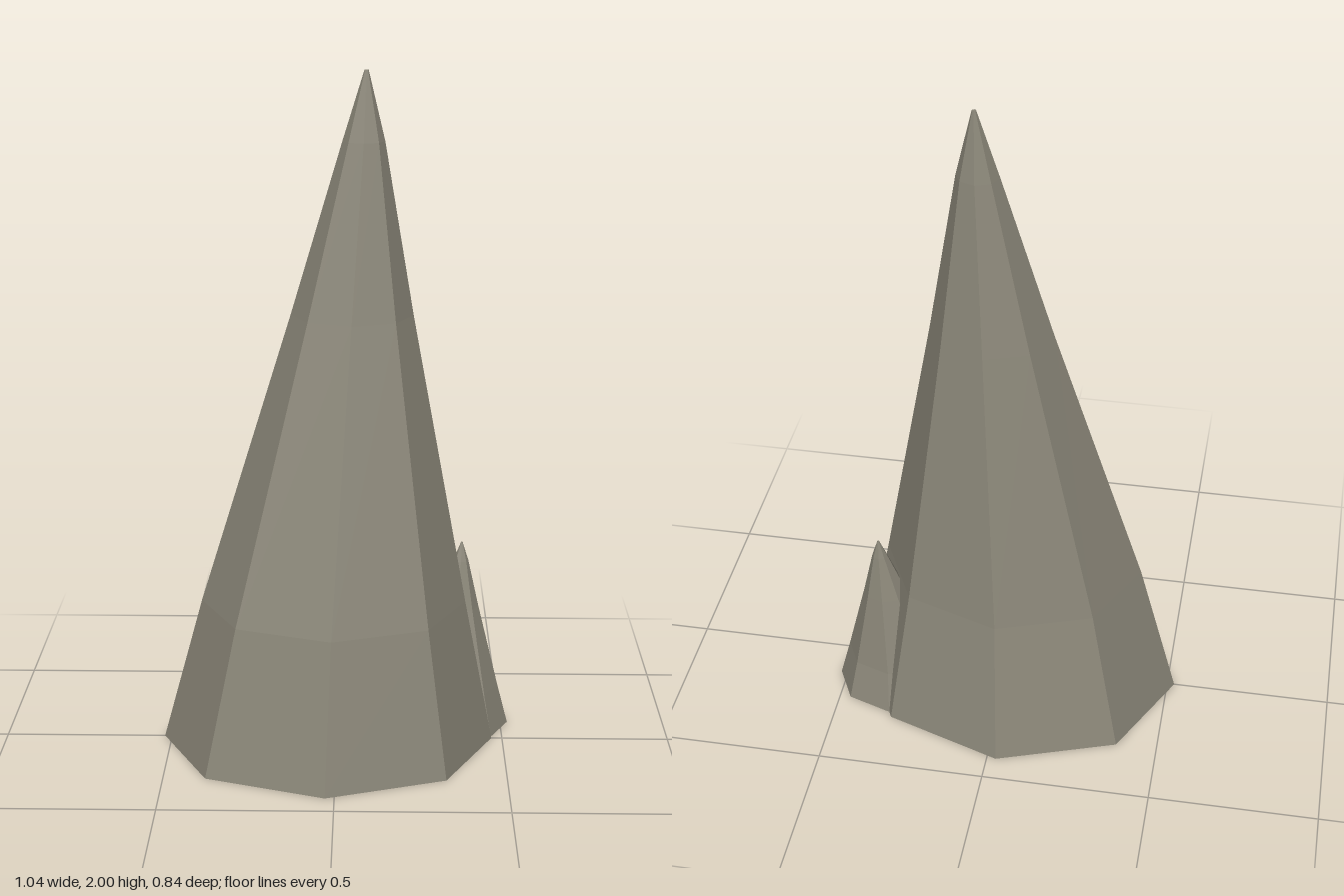
import * as THREE from 'three';

// Rings of a leaning spike, bottom to top: height, centre x, centre z, radius x, radius z
const RINGS = [
  [0, 0, 0, 0.495, 0.42],
  [0.44, 0.017, 0, 0.392, 0.333],
  [1.3, 0.07, -0.055, 0.178, 0.152],
  [1.8, 0.102, -0.077, 0.061, 0.052],
  [2, 0.109, -0.086, 0.006, 0.005],
];

// Eight-sided capped cylinder whose rows are moved onto the rings
function spikeGeometry() {
  const geometry = new THREE.CylinderGeometry(1, 1, 1, 8, RINGS.length - 1);
  const p = geometry.attributes.position;
  for (let i = 0; i < p.count; i++) {
    const row = Math.round((p.getY(i) + 0.5) * (RINGS.length - 1));
    const [y, cx, cz, rx, rz] = RINGS[row];
    p.setXYZ(i, cx + p.getX(i) * rx, y, cz + p.getZ(i) * rz);
  }
  geometry.computeVertexNormals();
  return geometry;
}

export function createModel() {
  const group = new THREE.Group();
  group.name = 'stalagmite';
  const stone = new THREE.MeshStandardMaterial({ color: 0x8a8678 });
  stone.name = 'stone';
  stone.flatShading = true;
  const geometry = spikeGeometry();

  // Tall main spike
  const main = new THREE.Mesh(geometry, stone);
  main.name = 'mainSpike';
  main.position.set(-0.027, 0, 0);

  // Small spike growing from its back left foot
  const small = new THREE.Mesh(geometry, stone);
  small.name = 'smallSpike';
  small.position.set(0.334, 0, -0.12);
  small.scale.set(0.38, 0.2875, 0.372);

  group.add(main, small);
  return group;
}
